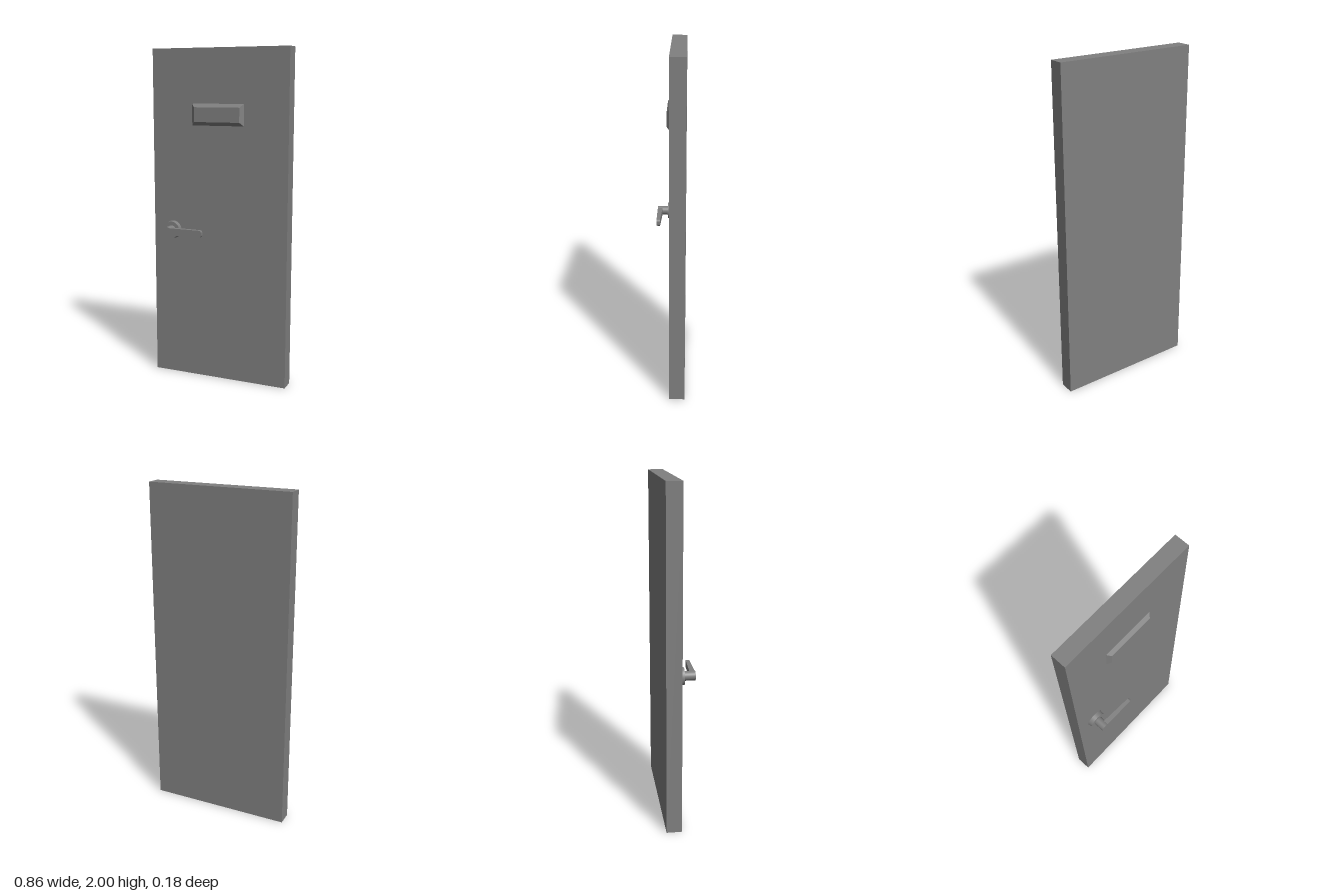
import * as THREE from 'three';

const HANDLE = { x: -0.302, y: 0.917 };

// Cylinder whose axis runs along z, between two depths
function zCylinder(rBack, rFront, z0, z1) {
  const g = new THREE.CylinderGeometry(rFront, rBack, z1 - z0, 40);
  g.rotateX(Math.PI / 2);
  g.translate(HANDLE.x, HANDLE.y, (z0 + z1) / 2);
  return g;
}

// Rectangular plate whose front face is inset by a bevel
function bevelledPlate(w, h, depth, inset) {
  const g = new THREE.BoxGeometry(w, h, depth).toNonIndexed();
  const p = g.attributes.position;
  for (let i = 0; i < p.count; i++) {
    if (p.getZ(i) > 0) {
      p.setX(i, p.getX(i) - Math.sign(p.getX(i)) * inset);
      p.setY(i, p.getY(i) - Math.sign(p.getY(i)) * inset);
    }
  }
  g.computeVertexNormals();
  return g;
}

// Lever arm: hugs the spindle, rounded at the tip, thinner toward the tip
function leverGeometry() {
  const r = 0.027, half = 0.021, length = 0.225, corner = 0.014;
  const a = Math.asin(half / r);
  const s = new THREE.Shape();
  s.moveTo(r * Math.cos(a), -half);
  s.lineTo(length - corner, -half);
  s.absarc(length - corner, -half + corner, corner, -Math.PI / 2, 0, false);
  s.absarc(length - corner, half - corner, corner, 0, Math.PI / 2, false);
  s.lineTo(r * Math.cos(a), half);
  s.absarc(0, 0, r, a, -a, true);
  const g = new THREE.ExtrudeGeometry(s, { depth: 0.03, bevelEnabled: false, curveSegments: 10 });
  const p = g.attributes.position;
  for (let i = 0; i < p.count; i++) {
    if (p.getZ(i) < 0.01) p.setZ(i, 0.009 * (p.getX(i) - r) / (length - r));
  }
  g.computeVertexNormals();
  g.translate(HANDLE.x, HANDLE.y, 0.06);
  return g;
}

export function createModel() {
  const model = new THREE.Group();
  model.name = 'door';
  const grey = new THREE.MeshStandardMaterial({ color: 0x808080 });
  grey.name = 'grey';

  const add = (name, geometry, parent = model) => {
    const mesh = new THREE.Mesh(geometry, grey);
    mesh.name = name;
    parent.add(mesh);
    return mesh;
  };

  // Door slab
  add('doorPanel', new THREE.BoxGeometry(0.857, 2, 0.09)).position.set(0, 1, -0.045);

  // Sign plate
  add('signPlate', bevelledPlate(0.328, 0.128, 0.02, 0.021)).position.set(-0.007, 1.616, 0.01);

  // Handle
  const handle = new THREE.Group();
  handle.name = 'handle';
  model.add(handle);
  add('handleRose', zCylinder(0.054, 0.05, 0, 0.026), handle);
  add('handleSpindle', zCylinder(0.027, 0.027, 0.026, 0.09), handle);
  add('handleLever', leverGeometry(), handle);

  return model;
}
